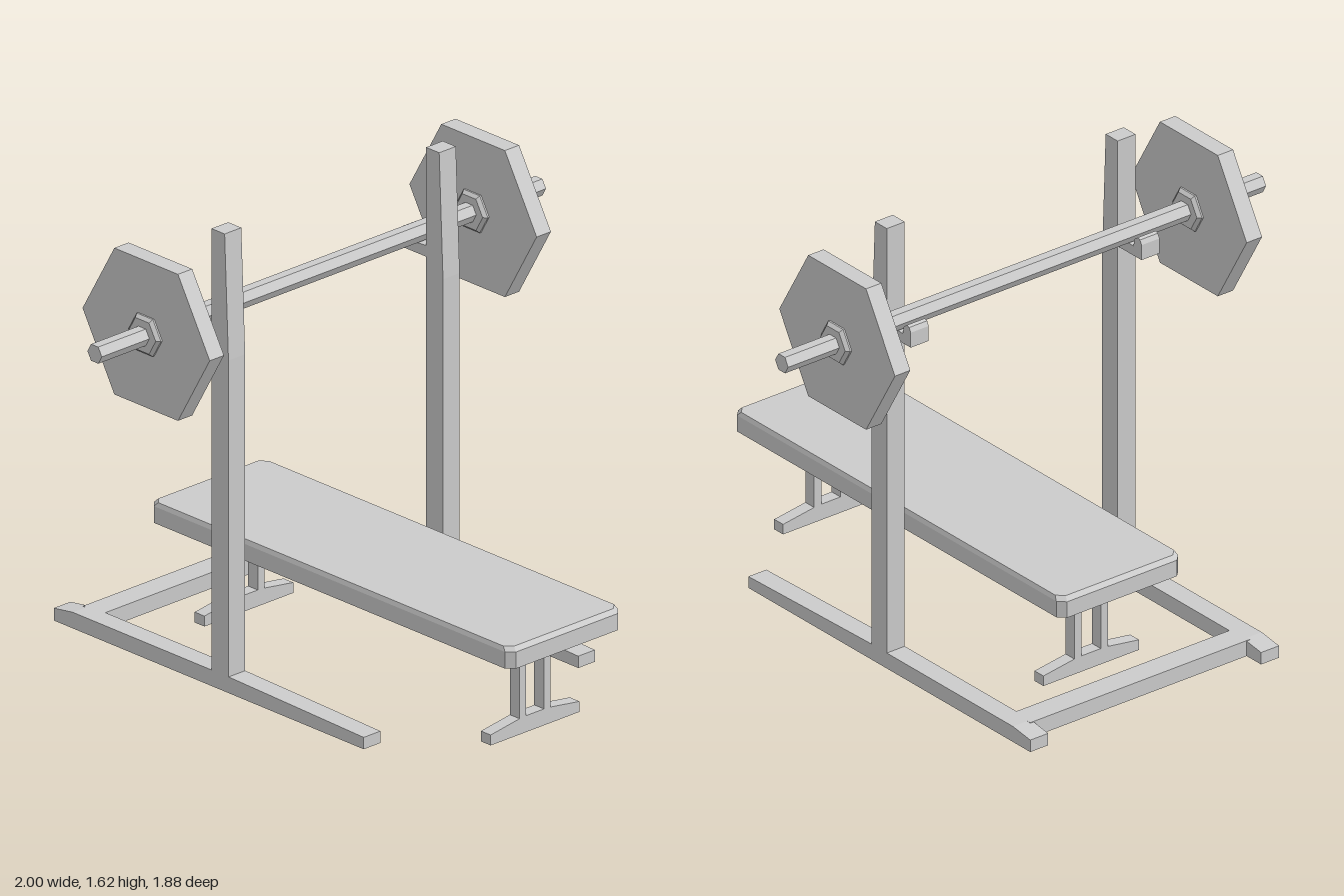
import * as THREE from 'three';

const mat = new THREE.MeshStandardMaterial({ color: 0xcccccc, flatShading: true });

function add(parent, name, geometry) {
  const mesh = new THREE.Mesh(geometry, mat);
  mesh.name = name;
  parent.add(mesh);
  return mesh;
}

const shapeOf = (pts) => new THREE.Shape(pts.map(([a, b]) => new THREE.Vector2(a, b)));

// Side profile given as [z, y], extruded across x and centred on x = 0
function sideProfile(pts, width) {
  return new THREE.ExtrudeGeometry(shapeOf(pts), { depth: width, bevelEnabled: false })
    .rotateY(-Math.PI / 2)
    .translate(width / 2, 0, 0);
}

// Six-sided rod lying along x
const hexRod = (r, length) => new THREE.CylinderGeometry(r, r, length, 6).rotateZ(Math.PI / 2);

// Padded board: octagonal outline, with the top edge drawn in
function padGeometry() {
  const x = 0.255, z = 0.853, c = 0.025, bottom = 0.328, shoulder = 0.387, top = 0.402;
  const outline = shapeOf([
    [x - c, -z], [x, -z + c], [x, z - c], [x - c, z],
    [-x + c, z], [-x, z - c], [-x, -z + c], [-x + c, -z],
  ]);
  const geo = new THREE.ExtrudeGeometry(outline, { depth: 1, steps: 2, bevelEnabled: false });
  geo.rotateX(-Math.PI / 2);
  const p = geo.attributes.position;
  for (let i = 0; i < p.count; i++) {
    const level = p.getY(i);
    if (level > 0.75) {
      p.setX(i, p.getX(i) * 0.975);
      p.setZ(i, p.getZ(i) * 0.983);
    }
    p.setY(i, level < 0.25 ? bottom : level < 0.75 ? shoulder : top);
  }
  geo.computeVertexNormals();
  return geo.translate(0, 0, 0.082);
}

// Twin-post leg with a sloped foot, seen from the front
function legGeometry() {
  const shape = shapeOf([
    [-0.2, 0], [0.2, 0], [0.2, 0.037], [0.07, 0.056], [0.07, 0.33],
    [-0.07, 0.33], [-0.07, 0.056], [-0.2, 0.037],
  ]);
  const gap = [[-0.04, 0.058], [-0.04, 0.292], [0.04, 0.292], [0.04, 0.058]];
  shape.holes.push(new THREE.Path(gap.map(([a, b]) => new THREE.Vector2(a, b))));
  return new THREE.ExtrudeGeometry(shape, { depth: 0.046, bevelEnabled: false }).translate(0, 0, -0.023);
}

export function createModel() {
  const model = new THREE.Group();
  model.name = 'weightBench';

  // Bench
  const bench = new THREE.Group();
  bench.name = 'bench';
  model.add(bench);
  add(bench, 'pad', padGeometry());
  add(bench, 'frontLeg', legGeometry()).position.z = 0.762;
  add(bench, 'rearLeg', legGeometry()).position.z = -0.588;

  // Rack
  const rack = new THREE.Group();
  rack.name = 'rack';
  model.add(rack);
  const railPts = [[0.522, 0], [0.522, 0.042], [0.2, 0.05], [-0.1, 0.057], [-0.85, 0.057], [-0.94, 0.044], [-0.94, 0]];
  const postPts = [[-0.116, 0.04], [-0.116, 1.18], [-0.134, 1.623], [-0.196, 1.623], [-0.196, 0.04]];
  const hookPts = [
    [-0.19, 1.235], [-0.19, 1.275], [-0.278, 1.27], [-0.284, 1.298],
    [-0.3, 1.31], [-0.312, 1.306], [-0.32, 1.29], [-0.32, 1.235],
  ];
  const cross = add(rack, 'crossBar', new THREE.BoxGeometry(0.92, 0.057, 0.09));
  cross.position.set(0, 0.0285, -0.82);

  // Barbell
  const barbell = new THREE.Group();
  barbell.name = 'barbell';
  barbell.position.set(0, 1.306, -0.245);
  model.add(barbell);
  add(barbell, 'bar', hexRod(0.034, 2));

  for (const [side, s] of [['left', 1], ['right', -1]]) {
    add(rack, side + 'Rail', sideProfile(railPts, 0.075)).position.x = s * 0.483;
    add(rack, side + 'Post', sideProfile(postPts, 0.075)).position.x = s * 0.483;
    add(rack, side + 'Hook', sideProfile(hookPts, 0.075)).position.x = s * 0.483;

    add(barbell, side + 'Plate', hexRod(0.3, 0.064)).position.x = s * 0.736;
    // Collar with chamfered ends
    const collarPts = [[0, -0.05], [0.064, -0.05], [0.076, -0.038], [0.076, 0.038], [0.064, 0.05], [0, 0.05]];
    const collar = new THREE.LatheGeometry(collarPts.map(([r, h]) => new THREE.Vector2(r, h)), 6);
    add(barbell, side + 'Collar', collar.rotateZ(Math.PI / 2)).position.x = s * 0.736;
  }
  return model;
}
